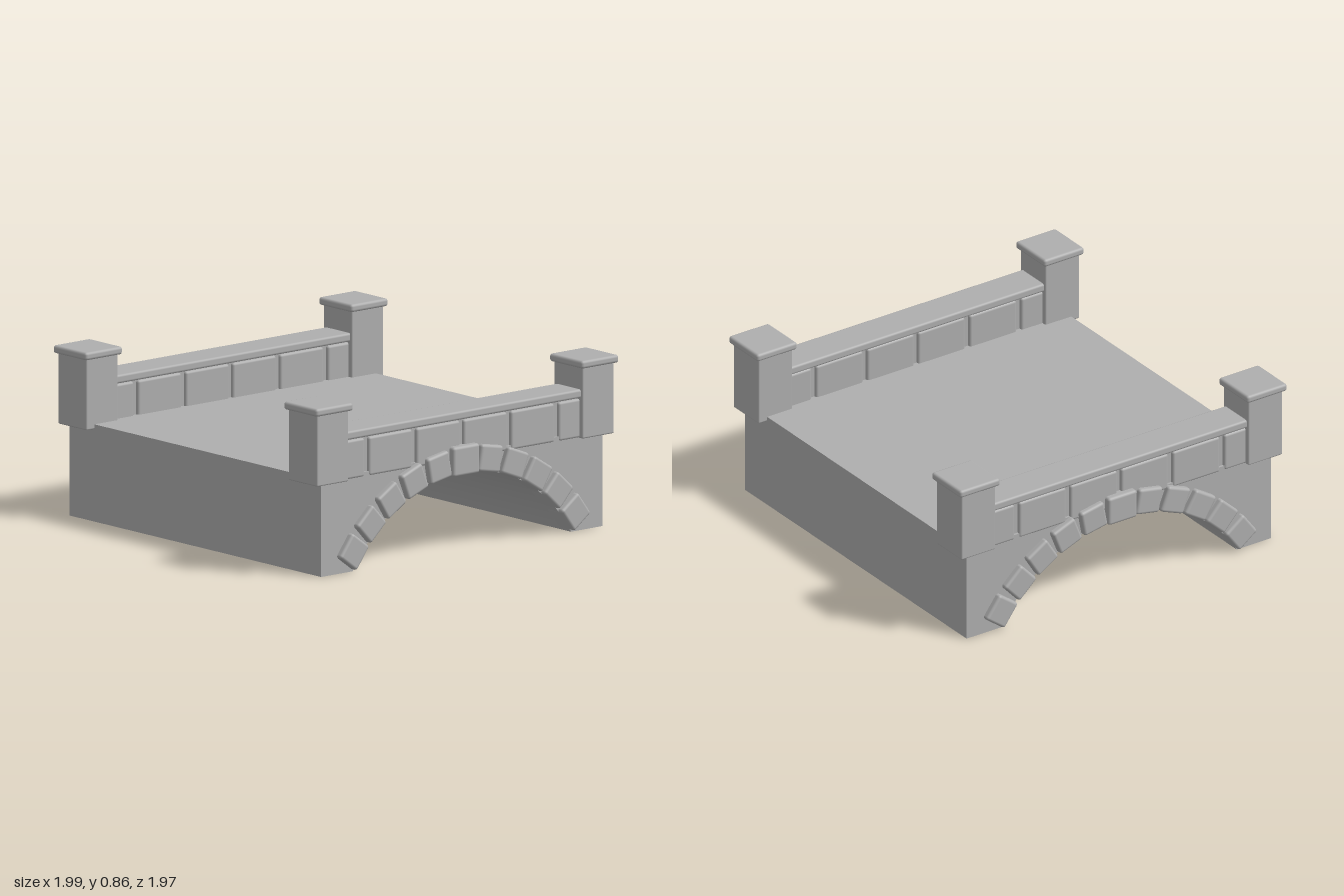
import * as THREE from 'three';
import { toCreasedNormals } from 'three/addons/utils/BufferGeometryUtils.js';
import { RoundedBoxGeometry } from 'three/addons/geometries/RoundedBoxGeometry.js';

const ARCH_R = 0.83; // underside radius
const ARCH_Y = -0.43; // height of the arch centre

export function createModel() {
  const stone = new THREE.MeshStandardMaterial({ color: 0xaeaeae });
  stone.name = 'grey stone';
  const bridge = new THREE.Group();
  bridge.name = 'stoneBridge';

  // Rounded block given by its limits on each axis
  function block(parent, name, [x0, x1], [y0, y1], [z0, z1], radius) {
    const geo = new RoundedBoxGeometry(x1 - x0, y1 - y0, z1 - z0, 2, radius);
    const mesh = new THREE.Mesh(geo, stone);
    mesh.name = name;
    mesh.position.set((x0 + x1) / 2, (y0 + y1) / 2, (z0 + z1) / 2);
    parent.add(mesh);
    return mesh;
  }

  // Deck and abutments with the arched passage cut out below
  const half = Math.sqrt(ARCH_R ** 2 - ARCH_Y ** 2);
  const a = Math.atan2(-ARCH_Y, half);
  const profile = new THREE.Shape();
  profile.moveTo(-0.915, 0);
  profile.lineTo(-half, 0);
  profile.absarc(0, ARCH_Y, ARCH_R, Math.PI - a, a, true);
  profile.lineTo(0.915, 0);
  profile.lineTo(0.915, 0.49);
  profile.lineTo(-0.915, 0.49);
  profile.closePath();
  const bodyGeo = new THREE.ExtrudeGeometry(profile, { depth: 1.9, bevelEnabled: false, curveSegments: 32 });
  bodyGeo.translate(0, 0, -0.95);
  bodyGeo.rotateY(Math.PI / 2);
  const body = new THREE.Mesh(toCreasedNormals(bodyGeo, 0.5), stone);
  body.name = 'deckAndArch';
  bridge.add(body);

  for (const s of [-1, 1]) {
    const side = new THREE.Group();
    side.name = s > 0 ? 'leftSide' : 'rightSide';
    const span = (inner, outer) => (s > 0 ? [inner, outer] : [-outer, -inner]);

    // Ring of arch stones, with a larger keystone in the middle
    for (let i = -5; i <= 5; i++) {
      const angle = THREE.MathUtils.degToRad(i * 10.7);
      const key = i === 0;
      const w = key ? 0.172 : 0.142;
      const h = key ? 0.15 : 0.136;
      const m = block(side, key ? 'keystone' : 'archStone',
        span(0.86, key ? 0.99 : 0.983), [-h / 2, h / 2], [-w / 2, w / 2], 0.015);
      m.position.y = ARCH_Y + 0.895 * Math.cos(angle);
      m.position.z = 0.895 * Math.sin(angle);
      m.rotation.x = angle;
    }

    // Parapet: recessed core, separate stones and coping
    block(side, 'parapetCore', span(0.805, 0.938), [0.47, 0.68], [-0.78, 0.78], 0.005);
    for (const [z0, z1] of [[-0.78, -0.628], [-0.6, -0.318], [-0.292, -0.01], [0.014, 0.296], [0.324, 0.606], [0.634, 0.78]]) {
      block(side, 'parapetStone', span(0.787, 0.956), [0.467, 0.663], [z0, z1], 0.013);
    }
    block(side, 'coping', span(0.775, 0.966), [0.668, 0.712], [-0.78, 0.78], 0.012);

    // Corner pillars with caps
    for (const e of [-1, 1]) {
      const along = (p, q) => (e > 0 ? [p, q] : [-q, -p]);
      block(side, 'pillar', span(0.762, 0.98), [0.465, 0.835], along(0.76, 0.966), 0.008);
      block(side, 'pillarCap', span(0.745, 0.997), [0.821, 0.861], along(0.743, 0.984), 0.014);
    }
    bridge.add(side);
  }
  return bridge;
}
